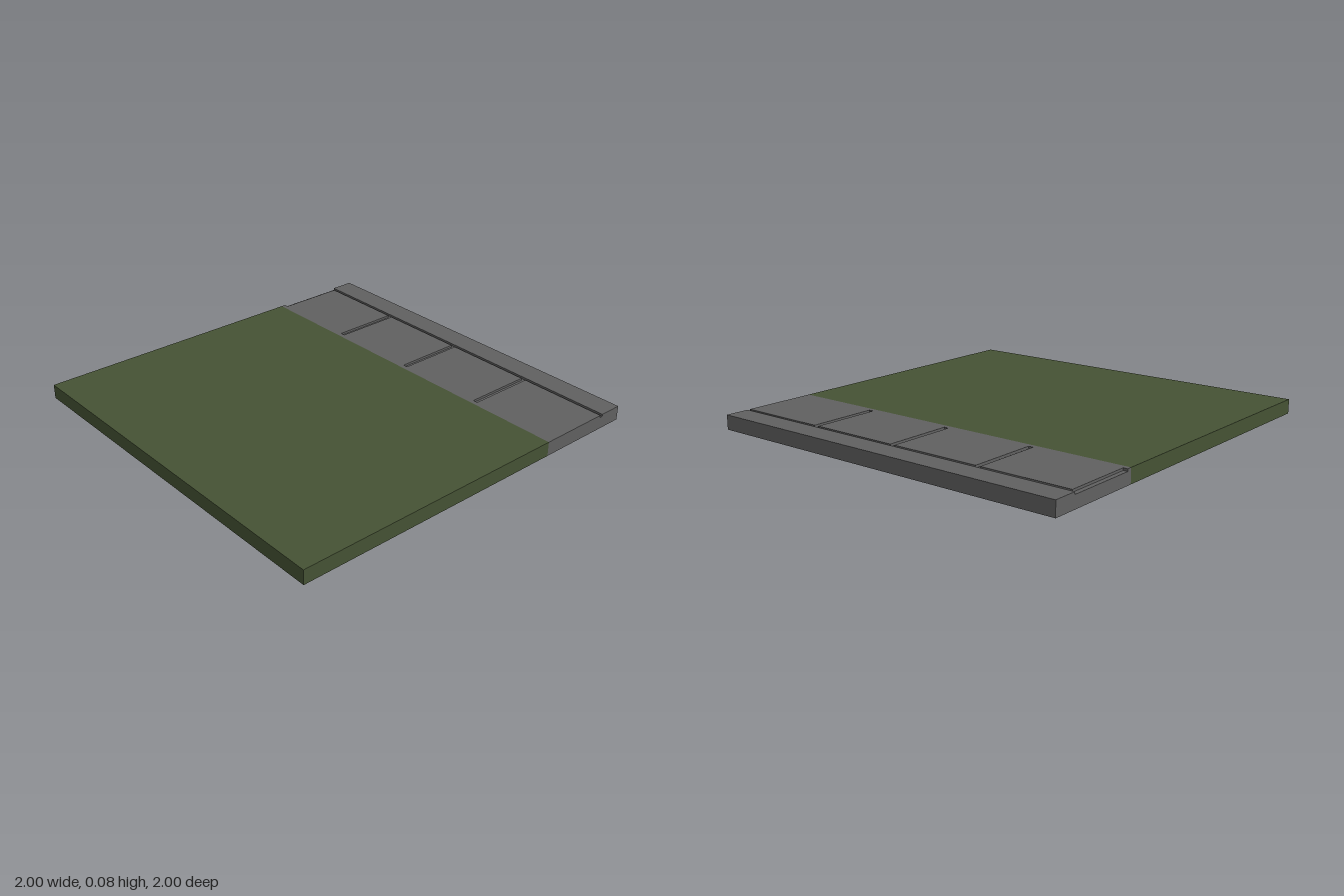
import * as THREE from 'three';
import { mergeGeometries } from 'three/addons/utils/BufferGeometryUtils.js';

const TOP = 0.075, FLOOR = 0.063;          // slab top and joint floor heights
const XS = [-1, -0.977, -0.502, -0.477, -0.002, 0.023, 0.498, 0.523, 1];
const ZS = [-1, -0.876, -0.86, -0.502, -0.477, 1];

// Which part a cell of the slab belongs to
function partAt(i, j) {
  if (j === 0) return 'kerb';
  if (j === 1) return 'longJoint';
  if (j === 2 && i % 2 === 0) return 'crossJoints';
  return j === 4 ? 'grass' : 'pavingSlabs';
}

function heightAt(i, j) {
  if (i < 0 || j < 0 || i >= XS.length - 1 || j >= ZS.length - 1) return 0;
  return partAt(i, j).endsWith('Joint') || partAt(i, j).endsWith('Joints') ? FLOOR : TOP;
}

// Flat rectangle: size, centre and rotation
function panel(w, h, pos, rx, ry) {
  return new THREE.PlaneGeometry(w, h).rotateX(rx).rotateY(ry).translate(...pos);
}

export function createModel() {
  const group = new THREE.Group();
  group.name = 'groundTile';
  const stone = new THREE.MeshStandardMaterial({ color: 0x606060, side: THREE.DoubleSide });
  stone.name = 'grey stone';
  const green = new THREE.MeshStandardMaterial({ color: 0x455234, side: THREE.DoubleSide });
  green.name = 'grass green';

  const parts = {};
  for (let i = 0; i < XS.length - 1; i++) {
    for (let j = 0; j < ZS.length - 1; j++) {
      const list = (parts[partAt(i, j)] ??= []);
      const w = XS[i + 1] - XS[i], d = ZS[j + 1] - ZS[j];
      const cx = XS[i] + w / 2, cz = ZS[j] + d / 2, y = heightAt(i, j);
      // Top face; the underside is left open
      list.push(panel(w, d, [cx, y, cz], -Math.PI / 2, 0));
      // Upright faces wherever the neighbouring cell is lower
      for (const [di, dj] of [[1, 0], [-1, 0], [0, 1], [0, -1]]) {
        const low = heightAt(i + di, j + dj);
        if (low >= y) continue;
        const pos = [cx + di * w / 2, (y + low) / 2, cz + dj * d / 2];
        list.push(panel(di ? d : w, y - low, pos, 0, Math.atan2(di, dj)));
      }
    }
  }

  for (const [name, list] of Object.entries(parts)) {
    const mesh = new THREE.Mesh(mergeGeometries(list), name === 'grass' ? green : stone);
    mesh.name = name;
    group.add(mesh);
  }
  return group;
}
